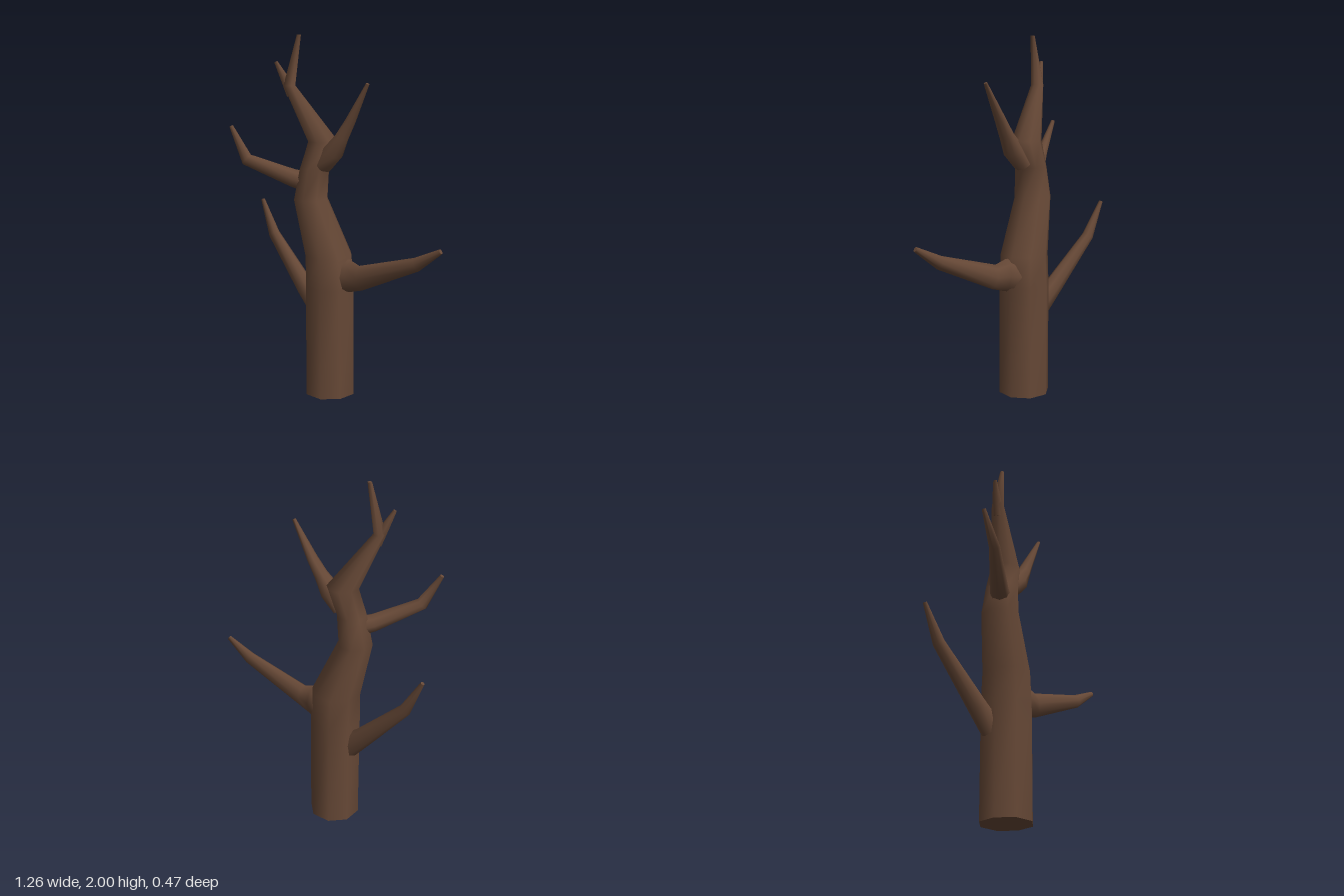
import * as THREE from 'three';

const bark = new THREE.MeshStandardMaterial({ color: 0x664836 });

// Lofts a limb through rings [x, y, z, sideways radius, other radius].
// Level rings stay horizontal; otherwise they turn with the path.
function limb(name, rings, sides, level = false) {
  const pos = [], index = [];
  const centers = rings.map(r => new THREE.Vector3(r[0], r[1], r[2]));
  const up = new THREE.Vector3(0, 1, 0);
  const last = rings.length - 1;
  const loops = rings.map(([, , , ru, rv = ru], i) => {
    const u = new THREE.Vector3(0, 0, 1), v = new THREE.Vector3(1, 0, 0);
    if (!level) {
      const t = new THREE.Vector3();
      if (i > 0) t.add(centers[i].clone().sub(centers[i - 1]).normalize());
      if (i < last) t.add(centers[i + 1].clone().sub(centers[i]).normalize());
      t.normalize();
      u.crossVectors(up, t).normalize();
      v.crossVectors(t, u);
    }
    return Array.from({ length: sides }, (_, j) => {
      const a = j / sides * Math.PI * 2;
      return centers[i].clone().addScaledVector(u, Math.cos(a) * ru).addScaledVector(v, Math.sin(a) * rv);
    });
  });

  // smooth bark skin
  loops.forEach(loop => loop.forEach(p => pos.push(p.x, p.y, p.z)));
  for (let i = 0; i < last; i++) {
    for (let j = 0; j < sides; j++) {
      const k = (j + 1) % sides;
      const a = i * sides + j, b = i * sides + k, c = a + sides, d = b + sides;
      index.push(a, b, d, a, d, c);
    }
  }
  // flat end caps with their own vertices
  for (const end of [0, last]) {
    const start = pos.length / 3;
    loops[end].forEach(p => pos.push(p.x, p.y, p.z));
    for (let j = 1; j < sides - 1; j++) {
      if (end === 0) index.push(start, start + j + 1, start + j);
      else index.push(start, start + j, start + j + 1);
    }
  }

  const geo = new THREE.BufferGeometry();
  geo.setAttribute('position', new THREE.Float32BufferAttribute(pos, 3));
  geo.setIndex(index);
  geo.computeVertexNormals();
  const mesh = new THREE.Mesh(geo, bark);
  mesh.name = name;
  return mesh;
}

export function createModel() {
  const tree = new THREE.Group();
  tree.name = 'deadTree';

  // trunk, leaning to its right and tapering to the top
  tree.add(limb('trunk', [
    [-0.082, 0, -0.005, 0.143, 0.143],
    [-0.082, 0.62, -0.005, 0.143, 0.143],
    [-0.087, 0.8, -0.003, 0.136, 0.137],
    [-0.19, 1.11, 0.003, 0.11, 0.095],
    [-0.167, 1.28, 0.003, 0.096, 0.083],
    [-0.116, 1.43, 0, 0.084, 0.088],
    [-0.298, 1.73, 0.037, 0.037, 0.033],
    [-0.24, 2, 0.035, 0.012, 0.012],
  ], 8, true));

  // short twig beside the tip
  tree.add(limb('topTwig', [
    [-0.285, 1.68, 0.033, 0.03],
    [-0.32, 1.76, 0.04, 0.025],
    [-0.37, 1.857, 0.053, 0.01],
  ], 6));

  // fork leaning to the left
  tree.add(limb('upperLeftBranch', [
    [-0.11, 1.3, 0.02, 0.06, 0.05],
    [-0.04, 1.38, 0.04, 0.058, 0.058],
    [0.015, 1.465, 0.05, 0.045, 0.035],
    [0.065, 1.55, 0.057, 0.036, 0.026],
    [0.172, 1.75, 0.083, 0.011, 0.009],
  ], 8));

  // bent branch high on the right
  tree.add(limb('upperRightBranch', [
    [-0.18, 1.2, 0.01, 0.06],
    [-0.28, 1.225, 0.04, 0.05],
    [-0.52, 1.327, 0.126, 0.03, 0.036],
    [-0.62, 1.505, 0.11, 0.011],
  ], 8));

  // long branch low on the left
  tree.add(limb('lowerLeftBranch', [
    [0, 0.69, 0.015, 0.085, 0.095],
    [0.06, 0.7, 0.035, 0.06, 0.09],
    [0.13, 0.7, 0.063, 0.042, 0.068],
    [0.48, 0.833, 0.175, 0.03, 0.037],
    [0.622, 0.923, 0.223, 0.011, 0.014],
  ], 8));

  // rising branch low on the right, toward the back
  tree.add(limb('lowerRightBranch', [
    [-0.17, 0.48, -0.05, 0.05, 0.07],
    [-0.265, 0.575, -0.085, 0.047, 0.056],
    [-0.51, 0.85, -0.187, 0.03, 0.034],
    [-0.6, 1.045, -0.225, 0.011],
  ], 8));

  return tree;
}
